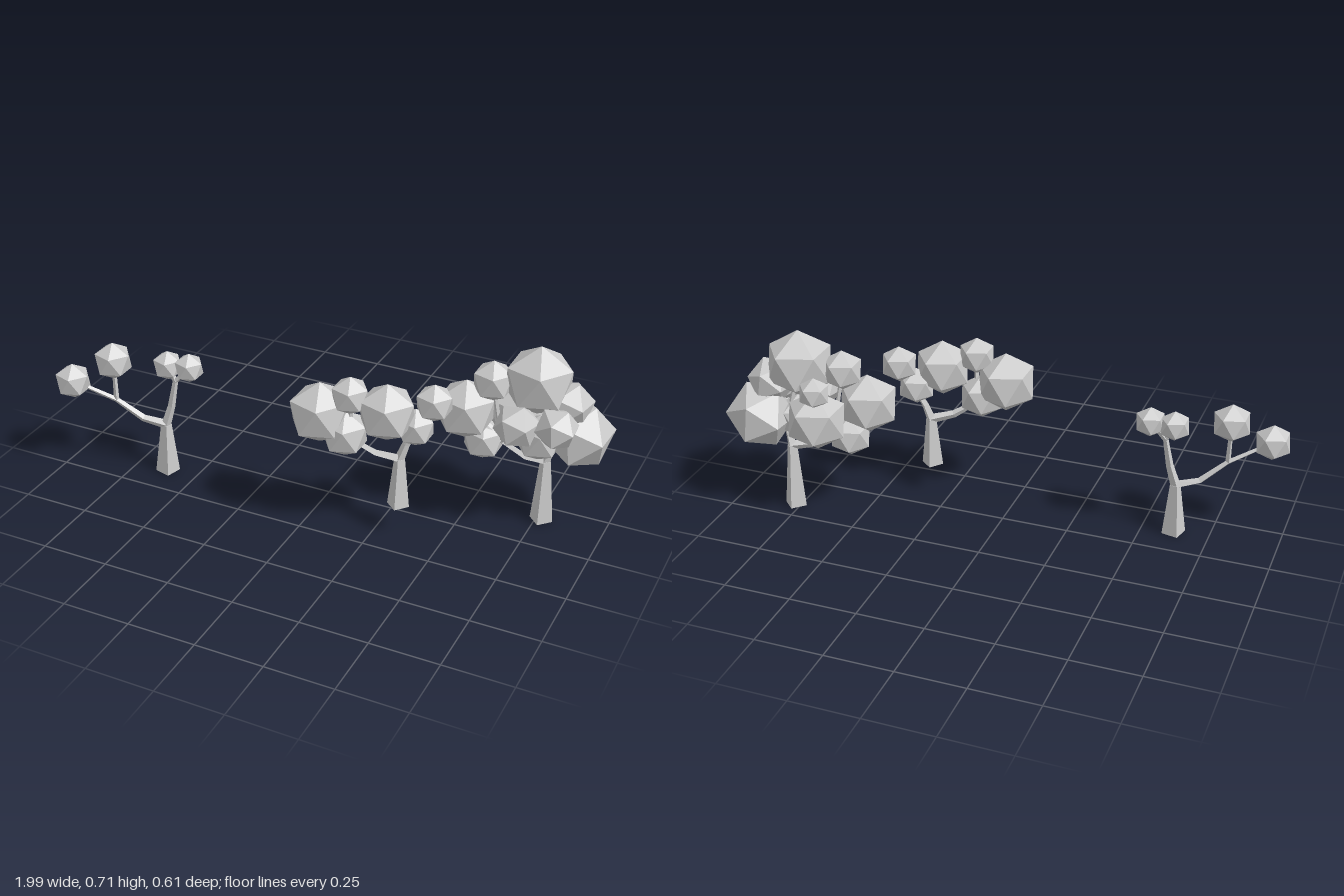
import * as THREE from 'three';

const material = new THREE.MeshStandardMaterial({ color: 0xcccccc, flatShading: true });
const UP = new THREE.Vector3(0, 1, 0);
const vec = p => new THREE.Vector3(...p);

// Leaf ball: an icosahedron standing on a corner
const ball = new THREE.IcosahedronGeometry(1, 0);
ball.rotateZ(-Math.atan(2 / (1 + Math.sqrt(5))));

// Four-sided limb along a path, tapering from radius r0 to r1, capped at both ends
function makeLimb(name, path, r0, r1, yaw) {
  const last = path.length - 1;
  const rings = path.map((centre, i) => {
    const dir = path[Math.min(i + 1, last)].clone().sub(path[Math.max(i - 1, 0)]).normalize();
    const turn = new THREE.Quaternion().setFromUnitVectors(UP, dir);
    const radius = THREE.MathUtils.lerp(r0, r1, i / last);
    return [0, 1, 2, 3].map(k => new THREE.Vector3(radius, 0, 0)
      .applyAxisAngle(UP, yaw + k * Math.PI / 2).applyQuaternion(turn).add(centre));
  });
  const corners = [];
  const quad = (a, b, c, d) => corners.push(a, b, c, a, c, d);
  for (let i = 0; i < last; i++) {
    for (let k = 0; k < 4; k++) {
      const n = (k + 1) % 4;
      quad(rings[i][k], rings[i][n], rings[i + 1][n], rings[i + 1][k]);
    }
  }
  quad(...[...rings[0]].reverse());
  quad(...rings[last]);
  const geometry = new THREE.BufferGeometry().setFromPoints(corners);
  geometry.computeVertexNormals();
  const limb = new THREE.Mesh(geometry, material);
  limb.name = name;
  return limb;
}

// Leaf ball, optionally tilted
function makeLeafBall([x, y, z, radius, tilt = 0]) {
  const leaf = new THREE.Mesh(ball, material);
  leaf.name = 'leafBall';
  leaf.position.set(x, y, z);
  leaf.rotation.set(tilt * 0.6, tilt, -tilt);
  leaf.scale.setScalar(radius);
  return leaf;
}

// Trunk, boughs leaving its top, and a twig from the nearest bough joint to each leaf ball
function makeTree(name, { foot, top, radius, yaw, boughs, leaves }) {
  const tree = new THREE.Group();
  tree.name = name;
  const crown = vec(top);
  tree.add(makeLimb('trunk', [vec(foot), crown], radius, 0.02, yaw));
  const joints = [];
  for (const bough of boughs) {
    const path = bough.map(vec);
    joints.push(...path);
    tree.add(makeLimb('bough', [crown, ...path], 0.018, 0.01, yaw));
  }
  for (const leaf of leaves) {
    const tip = vec(leaf.slice(0, 3));
    const start = joints.reduce((a, b) => (b.distanceTo(tip) < a.distanceTo(tip) ? b : a));
    tree.add(makeLimb('twig', [start, tip], 0.01, 0.007, yaw), makeLeafBall(leaf));
  }
  return tree;
}

export function createModel() {
  const model = new THREE.Group();
  model.name = 'treeGrove';

  model.add(makeTree('sparseTree', {
    foot: [-0.62, 0, 0.127], top: [-0.617, 0.2, 0.125], radius: 0.045, yaw: 0.54,
    boughs: [
      [[-0.7, 0.22, 0.15], [-0.79, 0.295, 0.185]],
      [[-0.595, 0.28, 0.115], [-0.577, 0.385, 0.108]],
    ],
    leaves: [
      [-0.935, 0.37, 0.245, 0.07], [-0.795, 0.455, 0.18, 0.074],
      [-0.607, 0.445, 0.107, 0.058], [-0.52, 0.45, 0.1, 0.058],
    ],
  }));

  model.add(makeTree('mediumTree', {
    foot: [0.33, 0.11, 0.124], top: [0.33, 0.3, 0.12], radius: 0.041, yaw: 0.08,
    boughs: [
      [[0.25, 0.32, 0.15], [0.17, 0.37, 0.178]],
      [[0.35, 0.36, 0.113], [0.385, 0.43, 0.1]],
    ],
    leaves: [
      [0.06, 0.462, 0.2, 0.117], [0.152, 0.395, 0.19, 0.088],
      [0.174, 0.553, 0.197, 0.072], [0.297, 0.5, 0.163, 0.109],
      [0.382, 0.435, 0.11, 0.072], [0.436, 0.528, 0.08, 0.071],
    ],
  }));

  model.add(makeTree('fullTree', {
    foot: [0.77, 0, -0.167], top: [0.77, 0.25, -0.165], radius: 0.043, yaw: 0,
    boughs: [
      [[0.7, 0.26, -0.145], [0.62, 0.32, -0.115]],
      [[0.79, 0.33, -0.16]],
    ],
    leaves: [
      [0.733, 0.579, -0.137, 0.131], [0.875, 0.375, -0.19, 0.13, 0.5],
      [0.84, 0.503, -0.155, 0.09, 0.4], [0.83, 0.455, -0.057, 0.08, 0.6],
      [0.7, 0.452, -0.02, 0.083, 0.3], [0.49, 0.435, -0.085, 0.115],
      [0.55, 0.31, -0.12, 0.08], [0.58, 0.56, -0.1, 0.078],
      [0.64, 0.4, -0.21, 0.117], [0.63, 0.52, -0.235, 0.06],
      [0.75, 0.36, -0.13, 0.09],
    ],
  }));

  return model;
}
